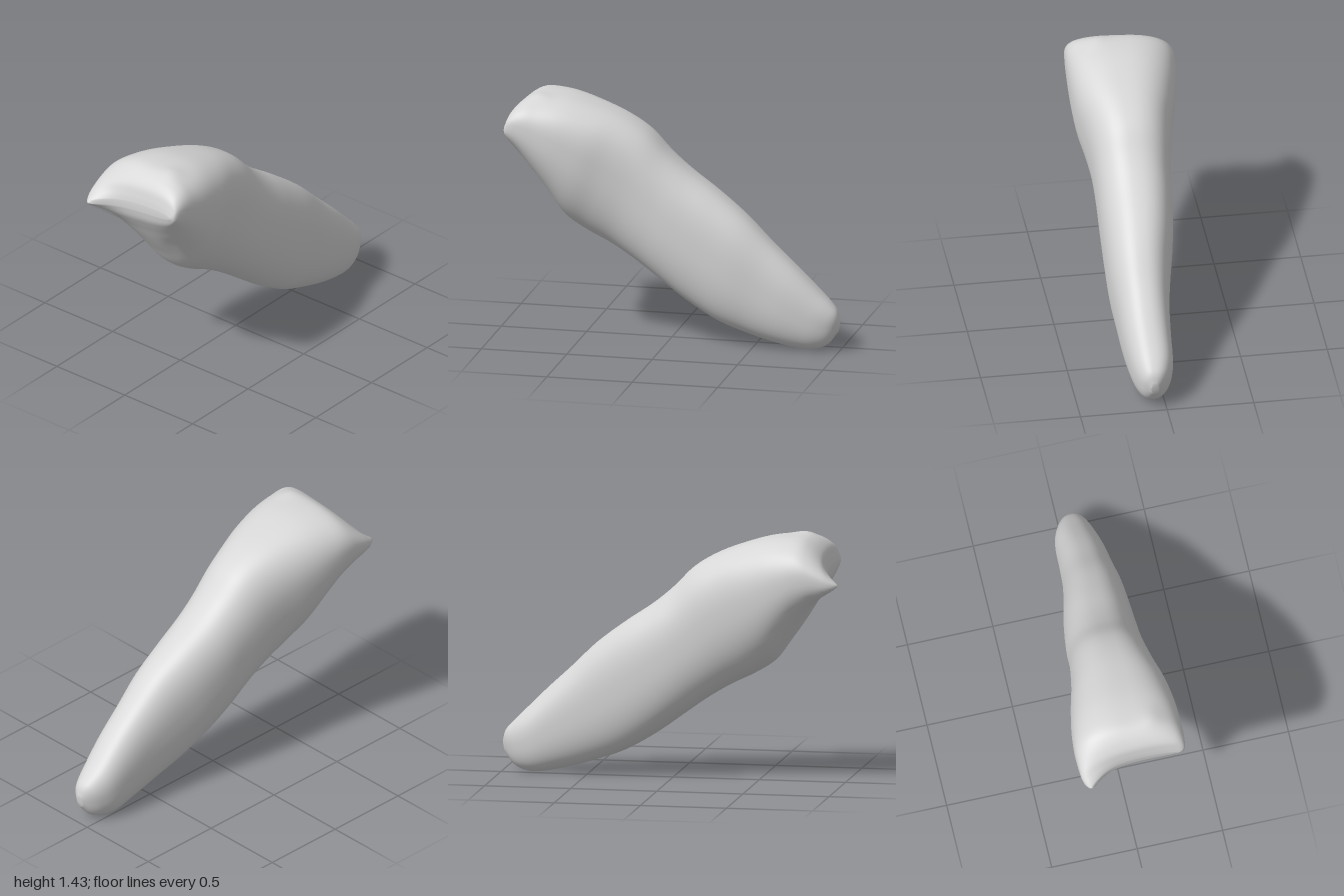
import * as THREE from 'three';

// Cross-sections from biting edge to root tip:
// [upper z, upper y, lower z, lower y, min x, max x]
const SECTIONS = [
  [0.912, 1.23, 0.912, 1.19, -0.265, 0.27],
  [0.902, 1.28, 0.898, 1.13, -0.295, 0.293],
  [0.88, 1.34, 0.87, 1.08, -0.31, 0.305],
  [0.82, 1.395, 0.83, 1.02, -0.317, 0.312],
  [0.74, 1.42, 0.78, 0.945, -0.317, 0.315],
  [0.58, 1.41, 0.69, 0.82, -0.30, 0.314],
  [0.40, 1.36, 0.60, 0.70, -0.27, 0.30],
  [0.25, 1.30, 0.48, 0.62, -0.235, 0.27],
  [0.12, 1.22, 0.34, 0.55, -0.21, 0.25],
  [0.00, 1.10, 0.20, 0.465, -0.19, 0.243],
  [-0.12, 1.00, 0.06, 0.365, -0.18, 0.243],
  [-0.28, 0.89, -0.10, 0.25, -0.155, 0.242],
  [-0.45, 0.76, -0.28, 0.145, -0.115, 0.238],
  [-0.60, 0.615, -0.45, 0.082, -0.085, 0.222],
  [-0.75, 0.475, -0.62, 0.033, -0.07, 0.207],
  [-0.88, 0.345, -0.77, 0.003, -0.06, 0.182],
  [-0.95, 0.275, -0.86, 0.005, -0.032, 0.158],
  [-0.985, 0.23, -0.93, 0.035, 0.005, 0.13],
  [-1.00, 0.175, -0.99, 0.11, 0.05, 0.09],
];
const AROUND = 64, STEPS = 90;
const { lerp, smoothstep } = THREE.MathUtils;

const spow = (v, p) => Math.sign(v) * Math.pow(Math.abs(v), p);

// Curved biting edge, pointed right corner and a small bump on the crown
function sculpt(p) {
  const front = smoothstep(p.z, 0.72, 0.9);
  const dx = p.x + 0.27, dy = p.y - 1.205;
  const d = Math.hypot(dx / (dx > 0 ? 0.1 : 0.06), dy / 0.062);
  const bump = 0.012 * Math.exp(-((p.x - 0.14) ** 2 + (p.z - 0.74) ** 2) / 0.003);
  p.y += front * 0.1 * Math.min(p.x, 0.27) + bump;
  p.z += front * (0.25 * p.x * p.x - 0.007 + 0.085 * Math.exp(-Math.pow(d, 1.4)));
}

function toothGeometry() {
  const curve = (f) => new THREE.CatmullRomCurve3(SECTIONS.map(f), false, 'catmullrom', 0.5);
  const upper = curve((s) => new THREE.Vector3(s[5], s[1], s[0]));
  const lower = curve((s) => new THREE.Vector3(s[4], s[3], s[2]));
  const pos = [], index = [];
  const p = new THREE.Vector3();

  for (let i = 0; i <= STEPS; i++) {
    const t = i / STEPS;
    const U = upper.getPoint(t), L = lower.getPoint(t);
    const root = smoothstep(t, 0.25, 0.6);
    const wide = lerp(0.56, 0.5, root); // height of the widest point
    const topP = lerp(0.72, 0.8, root);
    const topRightP = lerp(0.85, 0.8, root); // rounder shoulder on the pointed side
    const lowP = lerp(lerp(0.8, 1.0, smoothstep(t, 0.08, 0.28)), 0.85, root);
    for (let j = 0; j < AROUND; j++) {
      const a = (j / AROUND) * Math.PI * 2;
      const c = Math.cos(a), s = Math.sin(a);
      const e = s < 0 ? lowP : c < 0 ? topRightP : topP;
      const x = (U.x + L.x) / 2 + ((U.x - L.x) / 2) * spow(c, e);
      const v = s < 0 ? wide + wide * spow(s, 0.88) : wide + (1 - wide) * spow(s, e);
      p.set(x, L.y + (U.y - L.y) * v, L.z + (U.z - L.z) * v);
      sculpt(p);
      pos.push(p.x, p.y, p.z);
    }
  }
  // Skin between neighbouring rings
  for (let i = 0; i < STEPS; i++) {
    for (let j = 0; j < AROUND; j++) {
      const k = (j + 1) % AROUND;
      const a = i * AROUND + j, b = i * AROUND + k;
      const c = a + AROUND, d = b + AROUND;
      index.push(a, c, b, b, c, d);
    }
  }
  // Close the biting edge with strips and the root tip with a fan
  for (let j = 0; j < AROUND / 2; j++) {
    const m = (AROUND - j) % AROUND, n = AROUND - j - 1;
    if (j > 0) index.push(j, j + 1, m);
    if (j + 1 < AROUND / 2) index.push(j + 1, n, m);
  }
  const last = STEPS * AROUND;
  for (let j = 1; j < AROUND - 1; j++) index.push(last, last + j + 1, last + j);

  const geo = new THREE.BufferGeometry();
  geo.setAttribute('position', new THREE.Float32BufferAttribute(pos, 3));
  geo.setIndex(index);
  geo.computeVertexNormals();
  return geo;
}

export function createModel() {
  const group = new THREE.Group();
  group.name = 'incisorTooth';
  const enamel = new THREE.MeshStandardMaterial({ color: 0xd6d6d6 });
  enamel.name = 'light grey enamel';
  const tooth = new THREE.Mesh(toothGeometry(), enamel);
  tooth.name = 'crownAndRoot';
  group.add(tooth);
  return group;
}
